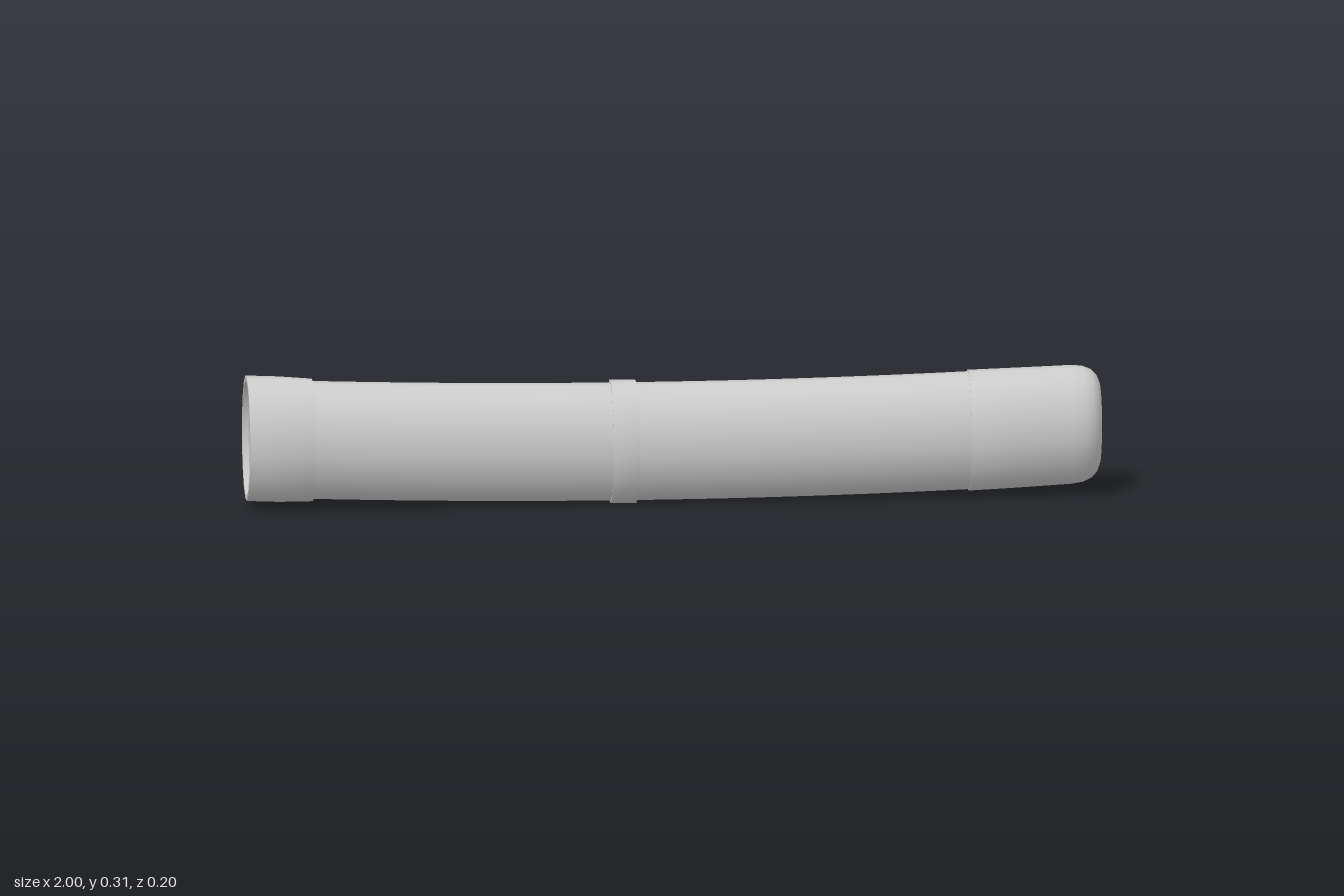
import * as THREE from 'three';
import { toCreasedNormals } from 'three/addons/utils/BufferGeometryUtils.js';

const SIDES = 16;
const material = new THREE.MeshStandardMaterial({ color: 0xcccccc });

// Gentle upward curve of the centre line
const centreY = (x) => 0.147 + 0.024 * x * x;

// Oval cross-sections [x, half height, half width] joined along the curve
function loft(sections, closeEnd = false) {
  const pos = [], index = [];
  sections.forEach(([x, ry, rz]) => {
    for (let j = 0; j < SIDES; j++) {
      const a = ((j + 0.5) / SIDES) * Math.PI * 2;
      pos.push(x, centreY(x) + Math.cos(a) * ry, Math.sin(a) * rz);
    }
  });
  for (let i = 0; i < sections.length - 1; i++) {
    for (let j = 0; j < SIDES; j++) {
      const k = (j + 1) % SIDES;
      const a = i * SIDES + j, b = i * SIDES + k;
      index.push(a, b, a + SIDES, b, b + SIDES, a + SIDES);
    }
  }
  if (closeEnd) {
    const last = (sections.length - 1) * SIDES;
    const x = sections[sections.length - 1][0];
    pos.push(x, centreY(x), 0);
    for (let j = 0; j < SIDES; j++) {
      index.push(last + j, last + ((j + 1) % SIDES), last + SIDES);
    }
  }
  const geo = new THREE.BufferGeometry();
  geo.setAttribute('position', new THREE.Float32BufferAttribute(pos, 3));
  geo.setIndex(index);
  return toCreasedNormals(geo, 0.75);
}

// Outline in the end plane pushed along x
function extrudeAlongX(shape, x0, depth) {
  const geo = new THREE.ExtrudeGeometry(shape, { depth, bevelEnabled: false });
  geo.rotateY(Math.PI / 2);
  geo.translate(x0, centreY(-1), 0);
  return geo;
}

export function createModel() {
  const model = new THREE.Group();
  const add = (name, geometry) => {
    const mesh = new THREE.Mesh(geometry, material);
    mesh.name = name;
    model.add(mesh);
  };

  // Long curved sheath, with its wall visible inside the mouth
  const body = [[-0.97, 0.118, 0.076], [-0.985, 0.118, 0.076], [-0.985, 0.139, 0.094]];
  for (let i = 0; i <= 24; i++) body.push([-0.9 + (i / 24) * 1.65, 0.139, 0.095]);
  add('sheathBody', loft(body));

  // Mouth collar
  add('mouthCollar', loft([
    [-0.98, 0.136, 0.091], [-1, 0.136, 0.091], [-1, 0.148, 0.1],
    [-0.925, 0.148, 0.1], [-0.845, 0.1445, 0.0985], [-0.845, 0.134, 0.09],
  ]));

  // Middle band
  add('middleBand', loft([
    [-0.148, 0.134, 0.09], [-0.148, 0.1455, 0.0975],
    [-0.088, 0.1455, 0.0975], [-0.088, 0.134, 0.09],
  ]));

  // Rounded end cap
  add('endCap', loft([
    [0.69, 0.134, 0.09], [0.69, 0.1425, 0.097], [0.8, 0.1415, 0.097],
    [0.93, 0.14, 0.096], [0.958, 0.137, 0.093], [0.978, 0.128, 0.085],
    [0.991, 0.114, 0.072], [0.998, 0.095, 0.055], [1, 0.075, 0.038],
  ], true));

  // Recessed mouth plug with a wedge-shaped slot
  const wedge = [[-0.052, 0.088], [0, 0.097], [0.052, 0.088], [0.008, -0.105], [-0.008, -0.105]]
    .map(([z, y]) => new THREE.Vector2(z, y));
  const plug = new THREE.Shape();
  plug.absellipse(0, 0, 0.08, 0.122, 0, Math.PI * 2);
  plug.holes.push(new THREE.Path(wedge));
  add('mouthPlug', extrudeAlongX(plug, -0.972, 0.27));
  add('slotFloor', extrudeAlongX(new THREE.Shape(wedge), -0.705, 0.01));

  return model;
}
